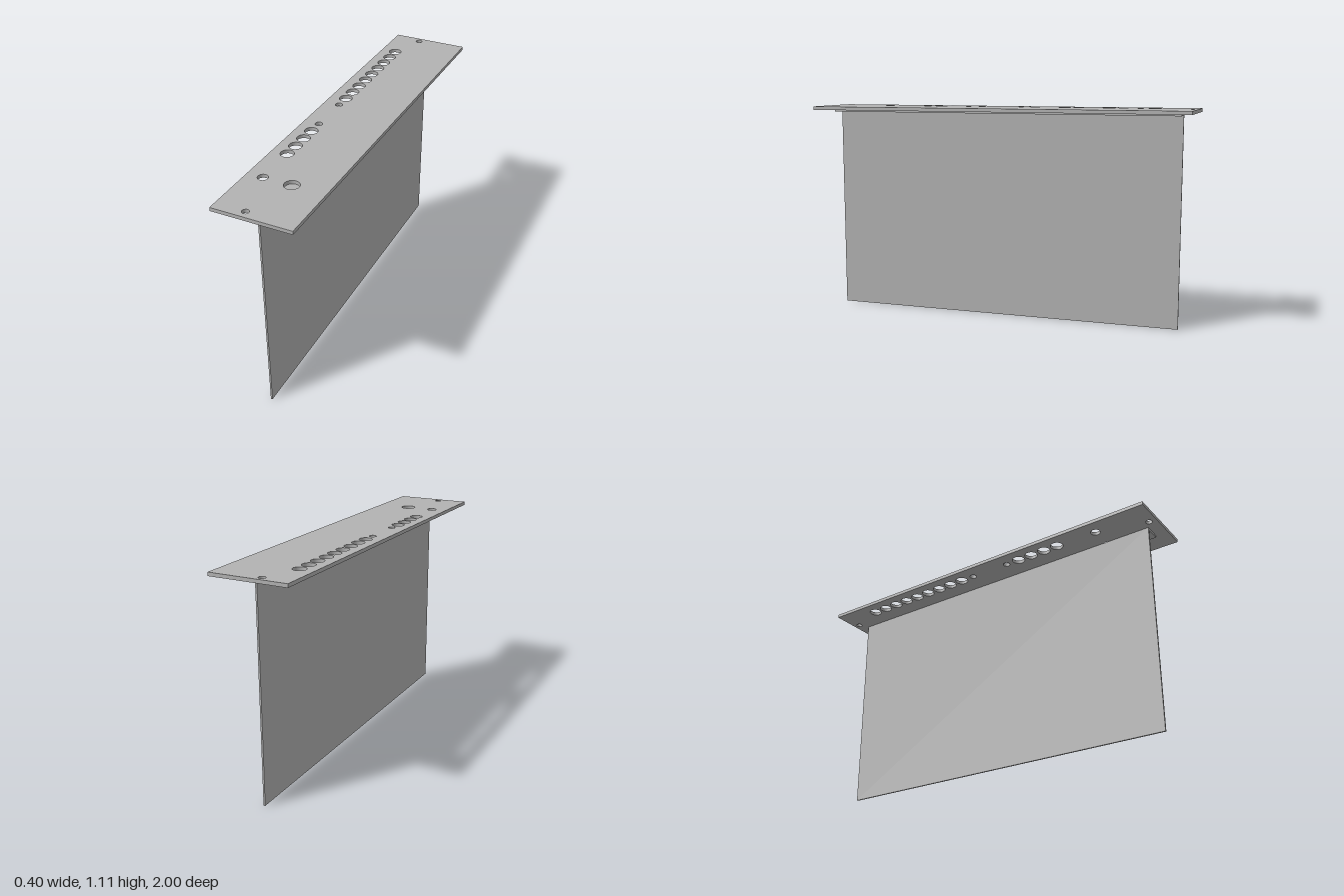
import * as THREE from 'three';

const PLATE_TOP = 1.106, PLATE_BOTTOM = 1.088;

export function createModel() {
  const group = new THREE.Group();
  const grey = new THREE.MeshStandardMaterial({ color: 0xb3b3b3 });
  grey.name = 'grey metal';

  const add = (name, geometry) => {
    const mesh = new THREE.Mesh(geometry, grey);
    mesh.name = name;
    group.add(mesh);
  };

  // box given by its limits on each axis
  const addBox = (name, [x0, x1], [y0, y1], [z0, z1]) => {
    const geometry = new THREE.BoxGeometry(x1 - x0, y1 - y0, z1 - z0);
    geometry.translate((x0 + x1) / 2, (y0 + y1) / 2, (z0 + z1) / 2);
    add(name, geometry);
  };

  // face plate outline, drawn in x and z
  const outline = new THREE.Shape([
    new THREE.Vector2(-0.2, -1), new THREE.Vector2(0.2, -1),
    new THREE.Vector2(0.2, 1), new THREE.Vector2(-0.2, 1),
  ]);
  const hole = (x, z, r) => {
    const path = new THREE.Path();
    path.absarc(x, z, r, 0, Math.PI * 2, true);
    outline.holes.push(path);
  };

  // two rows of large holes
  for (let i = 0; i < 9; i++) hole(-0.121, -0.774 + i * 0.079, 0.033);
  for (let i = 0; i < 4; i++) hole(-0.121, 0.234 + i * 0.079, 0.033);
  // small indicator holes
  hole(-0.121, -0.064, 0.018);
  hole(-0.121, 0.157, 0.018);
  // button hole and wide hole over the bracket
  hole(-0.118, 0.697, 0.025);
  hole(0.028, 0.697, 0.037);
  // mounting screw holes
  hole(-0.054, -0.966, 0.017);
  hole(-0.047, 0.96, 0.017);

  const plate = new THREE.ExtrudeGeometry(outline, {
    depth: PLATE_TOP - PLATE_BOTTOM, bevelEnabled: false, curveSegments: 32,
  });
  plate.rotateX(Math.PI / 2).translate(0, PLATE_TOP, 0);
  add('facePlate', plate);

  // upright board and the bracket joining it to the plate
  addBox('board', [-0.006, 0.003], [0, PLATE_BOTTOM], [-0.935, 0.935]);
  addBox('bracket', [0.003, 0.082], [1.076, PLATE_BOTTOM], [-0.935, 0.935]);

  return group;
}
